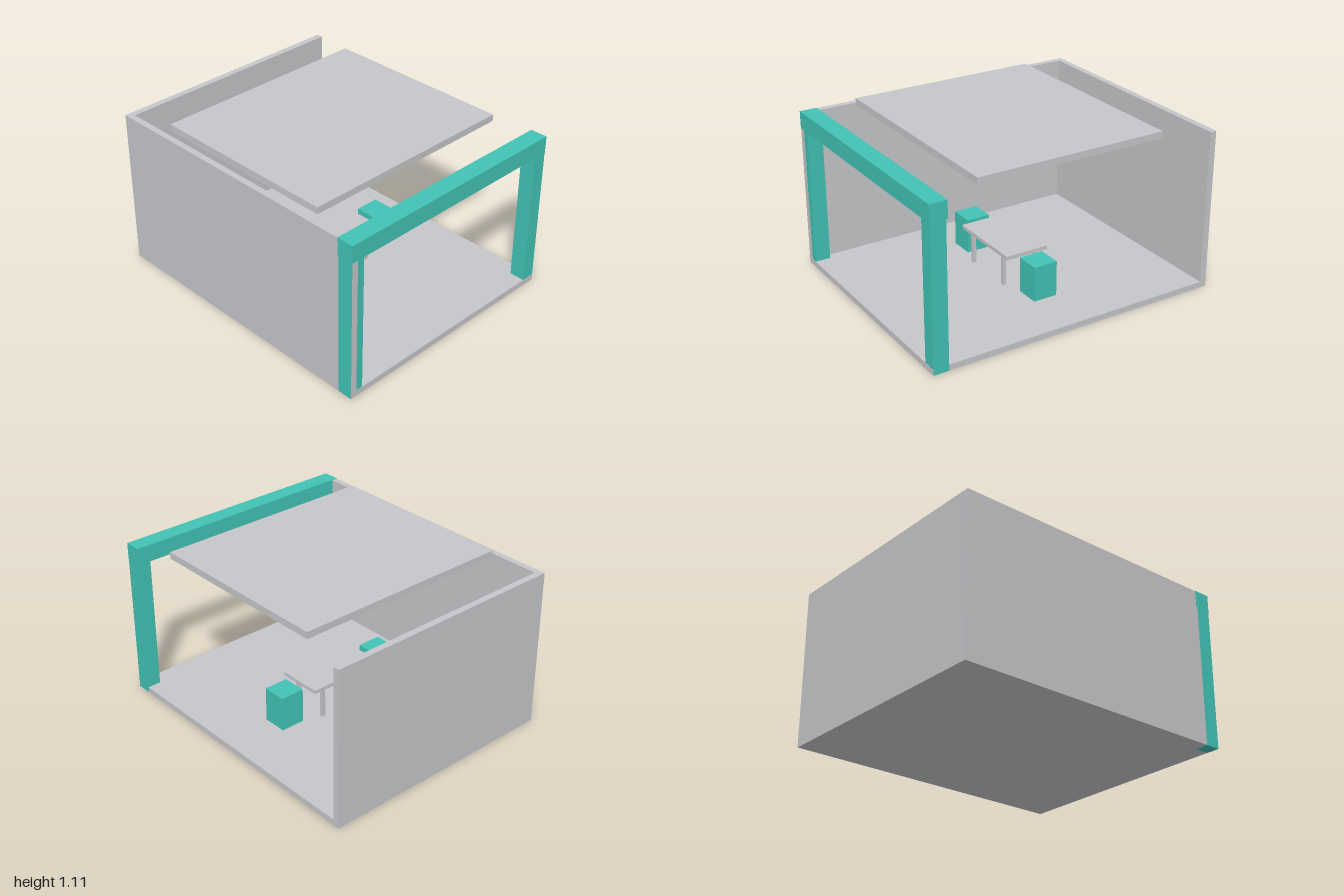
import * as THREE from 'three';

export function createModel() {
  const model = new THREE.Group();
  model.name = 'exhibitionBooth';

  const grey = new THREE.MeshStandardMaterial({ color: 0xc5c6c9 });
  grey.name = 'light grey';
  const teal = new THREE.MeshStandardMaterial({ color: 0x42c2b4 });
  teal.name = 'teal';

  // Box given by its limits along each axis
  function box(name, material, [x0, x1], [y0, y1], [z0, z1], parent = model) {
    const mesh = new THREE.Mesh(new THREE.BoxGeometry(x1 - x0, y1 - y0, z1 - z0), material);
    mesh.position.set((x0 + x1) / 2, (y0 + y1) / 2, (z0 + z1) / 2);
    mesh.name = name;
    parent.add(mesh);
    return mesh;
  }

  const floorTop = 0.04, wallTop = 1.067;

  // Shell: floor, back wall and one side wall
  box('floor', grey, [-0.83, 0.83], [0, floorTop], [-1, 1]);
  box('backWall', grey, [-0.83, 0.83], [floorTop, wallTop], [-1, -0.957]);
  box('sideWall', grey, [-0.83, -0.788], [floorTop, wallTop], [-0.957, 1]);

  // Floating ceiling panel
  box('ceilingPanel', grey, [-0.75, 0.75], [wallTop, 1.112], [-0.647, 0.647]);

  // Front portal, a hair proud of the shell where their faces coincide
  box('portalBeam', teal, [-0.831, 0.831], [0.955, 1.069], [0.885, 1.001]);
  box('rightPost', teal, [-0.831, -0.74], [-0.001, 0.955], [0.896, 0.999]);
  box('leftPost', teal, [0.738, 0.831], [0.001, 0.955], [0.896, 0.999]);

  // Table
  const table = new THREE.Group();
  table.name = 'table';
  table.position.x = -0.003;
  model.add(table);
  box('tableTop', grey, [-0.273, 0.273], [0.254, 0.279], [-0.15, 0.15], table);
  for (const sx of [-1, 1]) {
    for (const sz of [-1, 1]) {
      const x = sx * 0.183, z = sz * 0.118;
      box('tableLeg', grey, [x - 0.012, x + 0.012], [floorTop, 0.254], [z - 0.012, z + 0.012], table);
    }
  }

  // Block stools either side of the table
  for (const side of [-1, 1]) {
    const x = side * 0.4 - 0.003;
    box('stool', teal, [x - 0.083, x + 0.083], [floorTop, 0.276], [-0.082, 0.082]);
  }

  return model;
}
